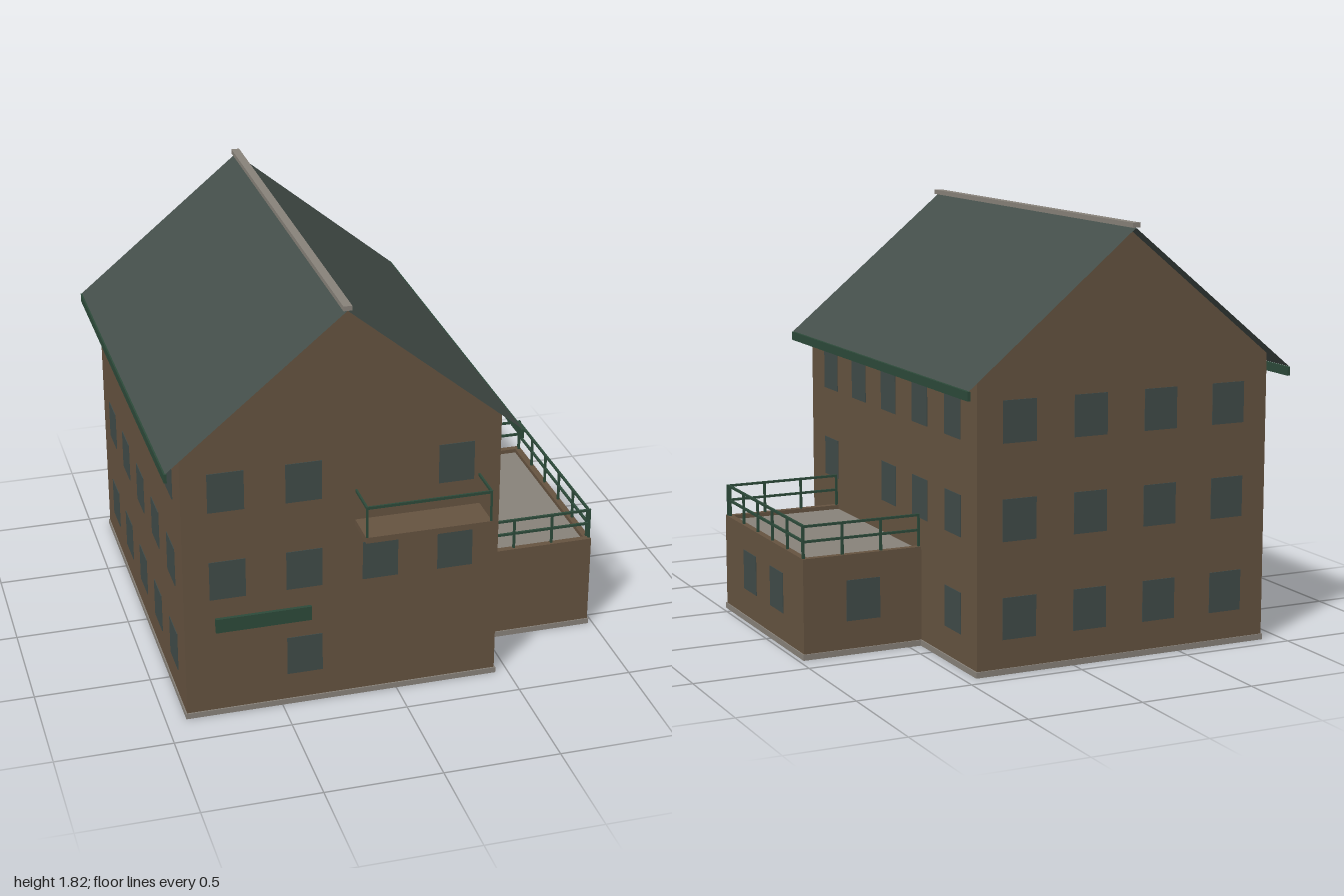
import * as THREE from 'three';

export function createModel() {
  const house = new THREE.Group();
  house.name = 'house';
  const mat = (name, color, side = THREE.FrontSide) => {
    const m = new THREE.MeshStandardMaterial({ color, side });
    m.name = name;
    return m;
  };
  const wall = mat('brown render', 0x655340);
  const stone = mat('grey stone', 0x88827a);
  const roofing = mat('slate green roof', 0x444f4a, THREE.DoubleSide);
  const glass = mat('dark glass', 0x404b48);
  const green = mat('dark green trim', 0x2d4a3a);

  const add = (name, geometry, material, parent = house) => {
    const mesh = new THREE.Mesh(geometry, material);
    mesh.name = name;
    parent.add(mesh);
    return mesh;
  };
  // Box given by its minimum and maximum corners
  const box = (name, a, b, material, parent) => {
    const mesh = add(name, new THREE.BoxGeometry(b[0] - a[0], b[1] - a[1], b[2] - a[2]), material, parent);
    mesh.position.set((a[0] + b[0]) / 2, (a[1] + b[1]) / 2, (a[2] + b[2]) / 2);
    return mesh;
  };
  const group = (name) => {
    const g = new THREE.Group();
    g.name = name;
    house.add(g);
    return g;
  };
  const polygon = (points) => new THREE.Shape(points.map(([x, y]) => new THREE.Vector2(x, y)));

  const X0 = -0.91, X1 = 0.44, Z0 = -0.925, Z1 = 0.836;
  const ridgeX = (X0 + X1) / 2, ridgeY = 1.797, eaveY = 1.242;

  // Main walls with gables
  const gable = polygon([[X0, 0.01], [X1, 0.01], [X1, eaveY], [ridgeX, ridgeY], [X0, eaveY]]);
  add('mainWalls', new THREE.ExtrudeGeometry(gable, { depth: Z1 - Z0, bevelEnabled: false }), wall).position.z = Z0;

  // L-shaped plinth under house and annex
  const footprint = polygon([[-0.915, -0.842], [0.446, -0.842], [0.446, -0.567], [0.98, -0.567],
    [0.98, 0.388], [0.446, 0.388], [0.446, 0.93], [-0.915, 0.93]]);
  add('plinth', new THREE.ExtrudeGeometry(footprint, { depth: 0.025, bevelEnabled: false }).rotateX(-Math.PI / 2), stone);

  // Thin roof slopes overhanging all sides, with eave boards and ridge cap
  const zBack = -0.993, zFront = 0.903, lift = 0.004;
  for (const s of [-1, 1]) {
    const run = 0.743;
    const drop = run * (ridgeY - eaveY) / (X1 - ridgeX);
    const slope = new THREE.PlaneGeometry(Math.hypot(run, drop), zFront - zBack);
    slope.rotateX(-Math.PI / 2).rotateZ(-s * Math.atan2(drop, run));
    add('roofSlope', slope, roofing).position.set(ridgeX + s * run / 2, ridgeY + lift - drop / 2, (zBack + zFront) / 2);
    const edge = ridgeX + s * run;
    box('eaveBoard', [edge - 0.006, 1.15, zBack], [edge + 0.006, 1.188, zFront], green);
  }
  box('ridgeCap', [ridgeX - 0.018, 1.802, -0.997], [ridgeX + 0.018, 1.822, 0.907], stone);

  // Annex: solid base, parapet and roof terrace floor
  const ax = 0.975, az0 = -0.382, az1 = 0.562, top = 0.43, floorY = 0.412, lip = 0.028;
  const annex = group('annex');
  box('annexWalls', [X1 - 0.01, 0.01, az0], [ax, floorY - 0.01, az1], wall, annex);
  box('parapetFront', [X1, floorY - 0.01, az1 - lip], [ax, top, az1], wall, annex);
  box('parapetBack', [X1, floorY - 0.01, az0], [ax, top, az0 + lip], wall, annex);
  box('parapetSide', [ax - lip, floorY - 0.01, az0 + lip], [ax, top, az1 - lip], wall, annex);
  box('terraceFloor', [X1, floorY - 0.01, az0 + lip], [ax - lip, floorY, az1 - lip], stone, annex);

  // Railing of posts and two rails along a straight run
  const railing = group('terraceRailing');
  const t = 0.005;
  const railRun = (x0, z0, x1, z1, bays) => {
    for (const y of [0.5, 0.565]) {
      box('rail', [Math.min(x0, x1) - t, y - t, Math.min(z0, z1) - t],
        [Math.max(x0, x1) + t, y + t, Math.max(z0, z1) + t], green, railing);
    }
    for (let i = 0; i <= bays; i++) {
      const x = x0 + (x1 - x0) * i / bays, z = z0 + (z1 - z0) * i / bays;
      box('post', [x - t, top - 0.003, z - t], [x + t, 0.565, z + t], green, railing);
    }
  };
  railRun(0.446, 0.546, 0.968, 0.546, 3);
  railRun(0.446, -0.368, 0.968, -0.368, 3);
  railRun(0.964, 0.53, 0.964, -0.354, 5);

  // Front balcony with open railing
  const balcony = group('balcony');
  const bx0 = -0.183, bx1 = 0.353, bz = 1.0, b = 0.008;
  box('balconySlab', [bx0, 0.812, Z1], [bx1, 0.838, bz], wall, balcony);
  box('frontRail', [bx0, 0.966, bz - b], [bx1, 0.978, bz], green, balcony);
  for (const x of [bx0, bx1 - b]) {
    box('sideRail', [x, 0.966, Z1], [x + b, 0.978, bz - b], green, balcony);
    box('balconyPost', [x, 0.838, bz - b], [x + b, 0.966, bz], green, balcony);
  }

  // Green board above the entrance side
  box('frontBoard', [-0.78, 0.4, Z1], [-0.372, 0.464, 0.851], green);

  // Windows: thin plates placed by wall, row and column
  const rows = [0.233, 0.64, 1.043];
  const cols = [-0.724, -0.4, -0.074, 0.25];
  const sideCols = [0.606, 0.281, -0.045, -0.373, -0.697];
  const windows = group('windows');
  const pane = (x, y, z, alongZ) => {
    const g = alongZ ? new THREE.BoxGeometry(0.006, 0.175, 0.152) : new THREE.BoxGeometry(0.152, 0.175, 0.006);
    add('window', g, glass, windows).position.set(x, y, z);
  };
  const frontLayout = [[1], [0, 1, 2, 3], [0, 1, 3]];
  const rightLayout = [[4], [0, 2, 3, 4], [0, 1, 2, 3, 4]];
  rows.forEach((y, r) => {
    frontLayout[r].forEach((c) => pane(cols[c], y, Z1, false));
    rightLayout[r].forEach((c) => pane(X1, y, sideCols[c], true));
    cols.forEach((x) => pane(x, y, Z0, false));
    sideCols.forEach((z) => pane(X0, y, z, true));
  });
  for (const z of [0.252, -0.072]) pane(ax, rows[0], z, true);
  pane(0.707, rows[0], az0, false);

  return house;
}
